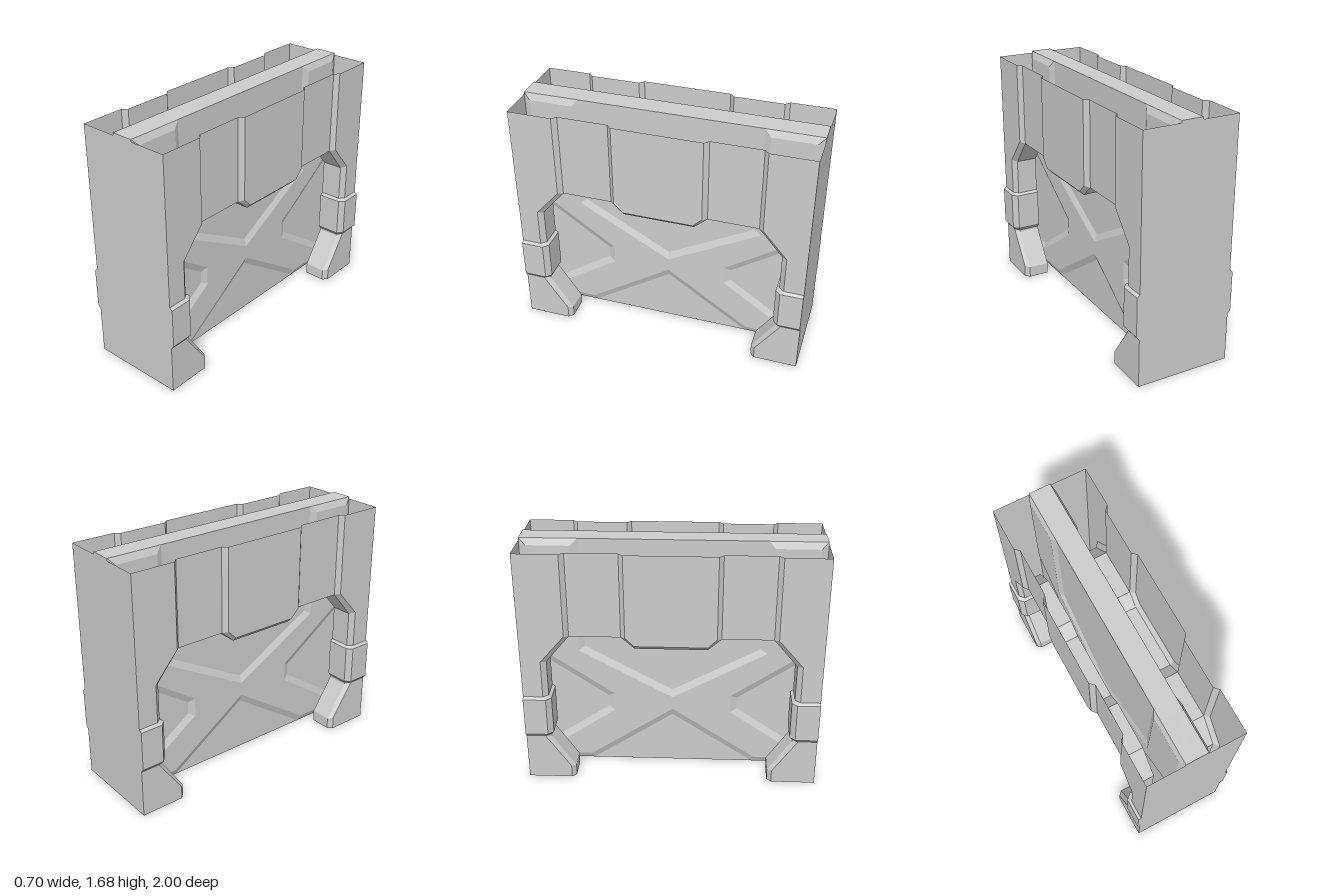
import * as THREE from 'three';

const material = new THREE.MeshStandardMaterial({ color: 0xcccccc, flatShading: true, side: THREE.DoubleSide });

function part(name, geometry) {
  const mesh = new THREE.Mesh(geometry, material);
  mesh.name = name;
  return mesh;
}

// Flat-faced sheet between neighbouring rows of [x, y, z] points
function sheet(name, ...rows) {
  const positions = [];
  for (let r = 0; r + 1 < rows.length; r++) {
    const a = rows[r], b = rows[r + 1];
    for (let i = 0; i + 1 < a.length; i++) {
      positions.push(...a[i], ...a[i + 1], ...b[i + 1], ...a[i], ...b[i + 1], ...b[i]);
    }
  }
  const geometry = new THREE.BufferGeometry();
  geometry.setAttribute('position', new THREE.Float32BufferAttribute(positions, 3));
  geometry.computeVertexNormals();
  return part(name, geometry);
}

// Places a [z, y] profile at a given x
const at = (x, profile) => profile.map(([z, y]) => [x, y, z]);
// Completes a half profile by mirroring it across z = 0
const mirrored = (half) => [...half, ...half.slice().reverse().map(([z, y]) => [-z, y])];
const shapeOf = (points) => new THREE.Shape(points.map(([a, b]) => new THREE.Vector2(a, b)));

const TOP = 1.67, CORE_TOP = 1.685;
const SKIN = 0.33, RECESS = 0.30, INNER = 0.15, PAD = 0.35;

// Middle slab with a raised cross on both faces
function createCore() {
  const core = new THREE.Group();
  core.name = 'core';
  const half = 0.075, bevel = 0.045;
  const slab = part('coreSlab', new THREE.BoxGeometry(half * 2, CORE_TOP, 2));
  slab.position.y = CORE_TOP / 2;

  const side = [
    [0.60, 0.91], [0.62, CORE_TOP], [1, CORE_TOP], [1, 0.90], [0.45, 0.525],
    [0.45, 0.44], [0.86, 0.16], [1, 0.16], [1, 0], [0.57, 0],
  ];
  const outline = [[0, 0.58], ...side, [0, 0.38], ...side.slice().reverse().map(([z, y]) => [-z, y])];
  const geometry = new THREE.ExtrudeGeometry(shapeOf(outline), {
    depth: half * 2, bevelEnabled: true, bevelThickness: 0.02,
    bevelSize: bevel, bevelOffset: -bevel, bevelSegments: 1,
  });
  geometry.translate(0, 0, -half);
  geometry.rotateY(-Math.PI / 2);
  core.add(slab, part('raisedCross', geometry));
  return core;
}

// One leg of a side shell with its wrap-around pad
function createLeg() {
  const leg = new THREE.Group();
  leg.name = 'leg';
  const inner = [[0.67, 0], [0.67, 0.08], [0.83, 0.32], [0.83, 0.90], [0.67, 1.09], [0.67, TOP]];
  const outer = [[0.70, 0], [0.70, 0.09], [0.865, 0.33], [0.865, 0.91], [0.70, 1.10], [0.70, TOP]];
  const end = outer.map(([, y]) => [1, y]);
  leg.add(
    sheet('legSkin', at(SKIN, outer), at(SKIN, end)),
    sheet('legChamfer', at(RECESS, inner), at(SKIN, outer)),
    sheet('recessedPanel', at(RECESS, [[0.33, 1.09], [0.33, TOP]]), at(RECESS, [[0.67, 1.09], [0.67, TOP]])),
  );
  // Pad cross-sections, flush at the ends and raised between
  const flush = (y) => [[SKIN, y, 1], [SKIN, y, 0.865], [RECESS, y, 0.83], [INNER, y, 0.83]];
  const raised = (y) => [[PAD, y, 1], [PAD, y, 0.845], [0.315, y, 0.81], [INNER, y, 0.81]];
  leg.add(sheet('legPad', flush(0.335), raised(0.36), raised(0.63), flush(0.645)));
  return leg;
}

// Open side shell: opening wall, two legs and the raised centre panel
function createSide() {
  const side = new THREE.Group();
  side.name = 'sideShell';
  const opening = mirrored([
    [0.67, 0], [0.67, 0.08], [0.83, 0.32], [0.83, 0.90], [0.67, 1.09], [0.33, 1.09], [0.24, 1.01],
  ]);
  side.add(sheet('openingWall', at(INNER, opening), at(RECESS, opening)));

  const panelHalf = [[0.30, TOP], [0.30, 1.10], [0.24, 1.04]];
  const panelBase = [[0.33, TOP], [0.33, 1.09], [0.24, 1.01]];
  side.add(
    sheet('centrePanel', at(SKIN, panelHalf), at(SKIN, panelHalf.map(([z, y]) => [-z, y]))),
    sheet('centrePanelChamfer', at(RECESS, mirrored(panelBase)), at(SKIN, mirrored(panelHalf))),
  );

  const frontLeg = createLeg();
  const backLeg = createLeg();
  frontLeg.name = 'frontLeg';
  backLeg.name = 'backLeg';
  backLeg.scale.z = -1;
  side.add(frontLeg, backLeg);
  return side;
}

// Flat end wall, widened where the pads meet it
function createEndWall() {
  const edge = [[SKIN, 0], [SKIN, 0.335], [PAD, 0.36], [PAD, 0.63], [SKIN, 0.645], [SKIN, TOP]];
  const wall = part('endWall', new THREE.ShapeGeometry(shapeOf(mirrored(edge))));
  wall.position.z = 1;
  return wall;
}

export function createModel() {
  const model = new THREE.Group();
  model.name = 'container';
  model.add(createCore());

  const left = createSide();
  const right = createSide();
  left.name = 'leftShell';
  right.name = 'rightShell';
  right.scale.x = -1;
  model.add(left, right);

  const front = createEndWall();
  const back = createEndWall();
  front.name = 'frontWall';
  back.name = 'backWall';
  back.rotation.y = Math.PI;
  back.position.z = -1;
  model.add(front, back);
  return model;
}
